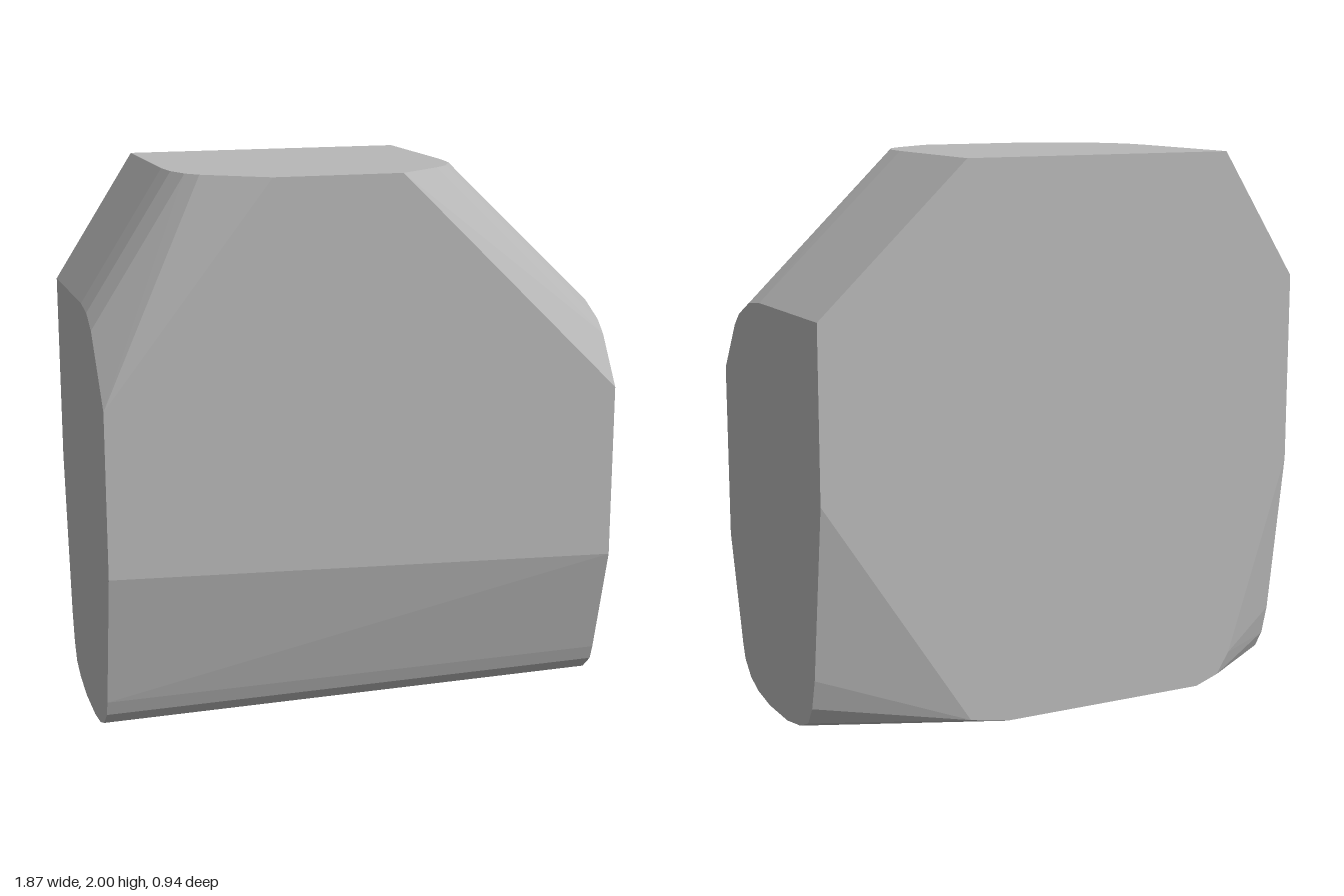
import * as THREE from 'three';
import { ConvexGeometry } from 'three/addons/geometries/ConvexGeometry.js';

export function createModel() {
  const group = new THREE.Group();
  const stone = new THREE.MeshStandardMaterial({ color: 0xb8b8b8 });
  stone.name = 'stone grey';
  stone.flatShading = true;

  const W = 0.935, D = 0.468;

  // Lower half of both side outlines, as [z, y], from back to front
  const belly = [
    [-0.38, 0.24], [-0.35, 0.13], [-0.31, 0.065], [-0.23, 0.03], [-0.1, 0.006],
    [0.08, 0.004], [0.2, 0.02], [0.28, 0.05], [0.34, 0.105], [0.36, 0.16],
  ];
  // Upper outlines of each side, as [z, y]
  const rightSide = [
    [-D, 0.87], [-D, 1.485], [0.08, 1.485], [0.19, 1.472], [0.3, 1.42], [0.35, 1.375],
    [D, 1.2], [D, 0.565],
  ];
  const leftSide = [
    [-D, 0.85], [-D, 1.54], [0.08, 1.54], [0.185, 1.525], [0.27, 1.478], [0.32, 1.415],
    [D, 1.24], [D, 0.65],
  ];
  // Flat top outline, as [x, z]
  const top = [
    [-0.64, -D], [0.39, -D], [0.39, 0.08], [0.38, 0.19], [0.335, 0.285], [0.28, 0.34],
    [0.115, D], [-0.345, D], [-0.56, 0.32], [-0.6, 0.27], [-0.63, 0.185], [-0.64, 0.08],
  ];
  // Rounded lower corners of the back face, as [x, y]
  const back = [[0.385, 0.035], [0.24, 0.008], [-0.56, 0.008], [-0.65, 0.04], [-0.7, 0.12]];

  const v = (x, y, z) => new THREE.Vector3(x, y, z);
  const points = [
    ...[...belly, ...rightSide].map(([z, y]) => v(W, y, z)),
    ...[...belly, ...leftSide].map(([z, y]) => v(-W, y, z)),
    ...top.map(([x, z]) => v(x, 2, z)),
    ...back.map(([x, y]) => v(x, y, -D)),
    v(0, 0, 0),
  ];

  // One solid hull through all the outlines
  const block = new THREE.Mesh(new ConvexGeometry(points), stone);
  block.name = 'chiselledStoneBlock';
  group.add(block);
  return group;
}
